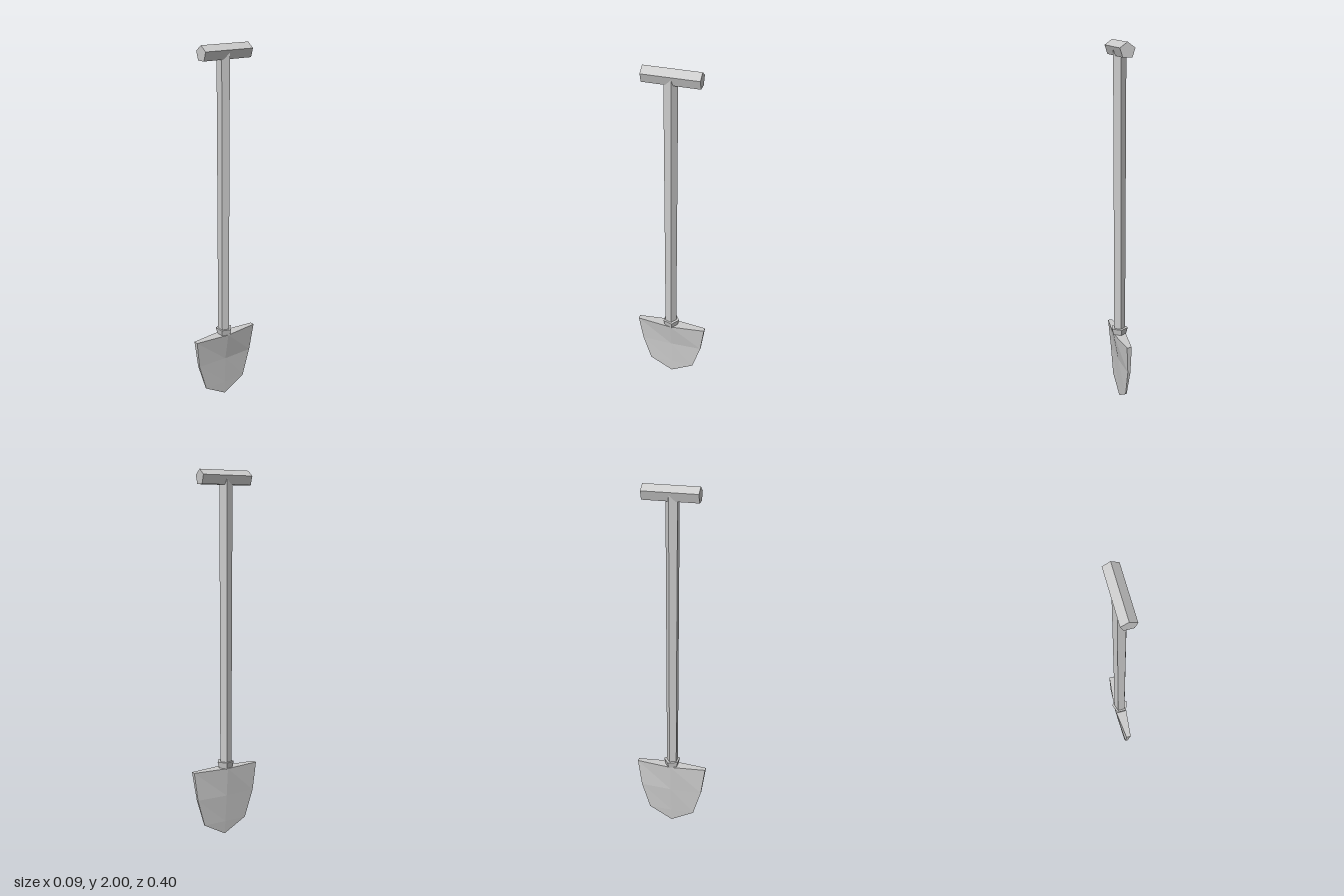
import * as THREE from 'three';

const material = new THREE.MeshStandardMaterial({ color: 0xcccccc, flatShading: true });

function addPart(group, name, geometry) {
  const mesh = new THREE.Mesh(geometry, material);
  mesh.name = name;
  group.add(mesh);
  return mesh;
}

// Five-sided upright bar with its flat side towards +z
function fiveSided(topRadius, bottomRadius, bottom, top, z) {
  return new THREE.CylinderGeometry(topRadius, bottomRadius, top - bottom, 5)
    .rotateY(Math.PI)
    .translate(0, (bottom + top) / 2, z);
}

// Blade lofted through six-point rings, thickest along its middle
function bladeGeometry() {
  // y, half width, then x of: middle right, edge right, edge left, middle left
  const rows = [
    [0.39, 0.2, 0.035, 0.013, -0.013, -0.035],
    [0.23, 0.178, 0.007, 0.002, -0.013, -0.022],
    [0.075, 0.132, 0.002, 0.001, -0.005, -0.008],
    [0, 0, 0, 0, 0, 0],
  ];
  const rings = rows.map(([y, w, mr, er, el, ml]) => [
    [mr, y, 0], [er, y, w], [el, y, w], [ml, y, 0], [el, y, -w], [er, y, -w],
  ]);
  const points = [];
  for (let i = 0; i < rings.length - 1; i++) {
    for (let j = 0; j < 6; j++) {
      const k = (j + 1) % 6;
      const a = rings[i][j], b = rings[i][k], c = rings[i + 1][j], d = rings[i + 1][k];
      points.push(...a, ...b, ...c);
      if (i < rings.length - 2) points.push(...b, ...d, ...c);
    }
  }
  // Top cap
  for (let j = 1; j < 5; j++) points.push(...rings[0][0], ...rings[0][j + 1], ...rings[0][j]);
  const geometry = new THREE.BufferGeometry();
  geometry.setAttribute('position', new THREE.Float32BufferAttribute(points, 3));
  geometry.computeVertexNormals();
  return geometry;
}

export function createModel() {
  const group = new THREE.Group();
  group.name = 'shovel';

  addPart(group, 'blade', bladeGeometry());
  addPart(group, 'collar', fiveSided(0.048, 0.038, 0.385, 0.425, 0.003));
  addPart(group, 'shaft', fiveSided(0.037, 0.033, 0.4, 1.96, 0.005));

  // Cross grip with a ridge along its top
  const grip = addPart(group, 'grip', new THREE.CylinderGeometry(0.042, 0.042, 0.296, 5).rotateX(-Math.PI / 2));
  grip.position.set(0, 1.958, -0.002);

  return group;
}
